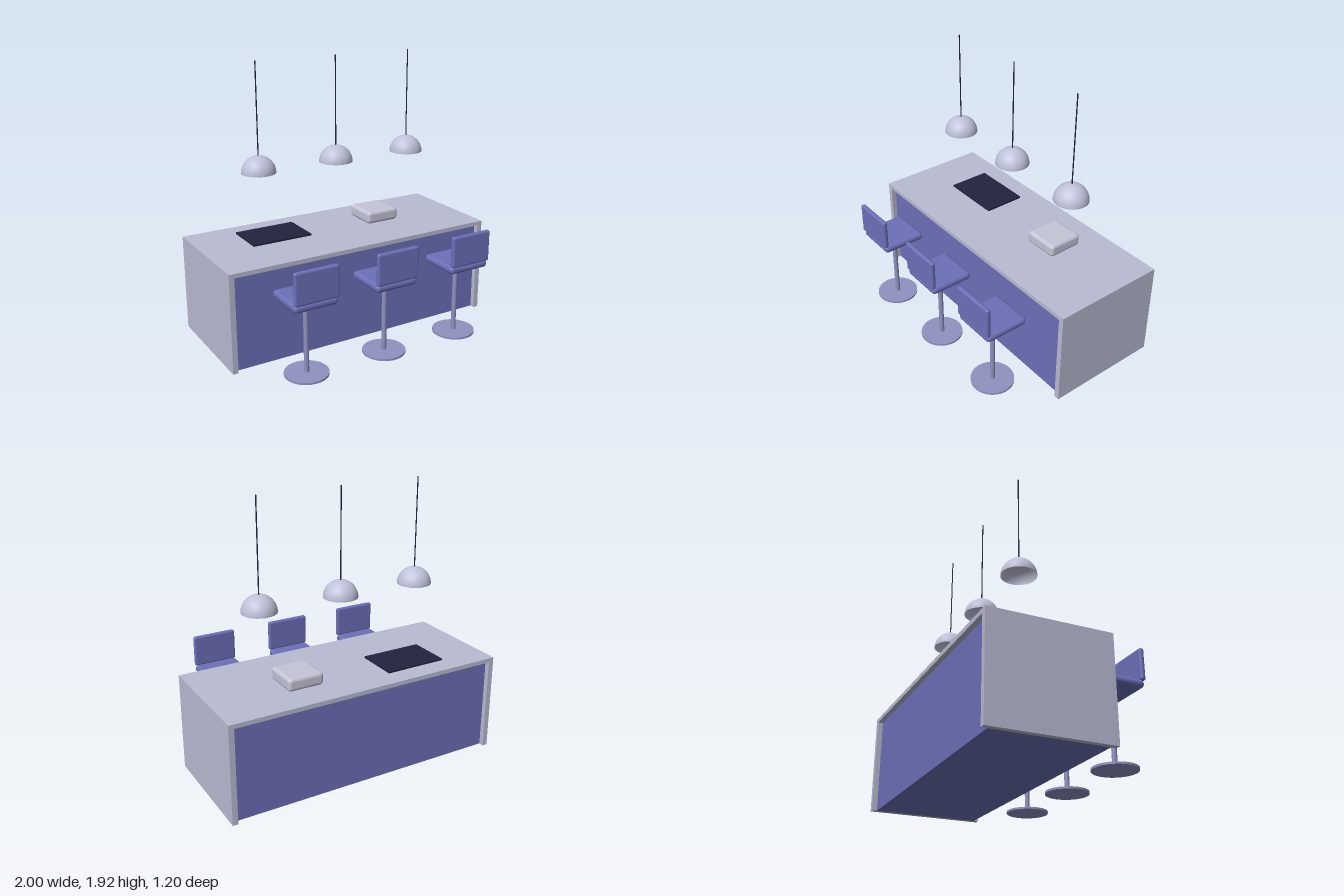
import * as THREE from 'three';
import { RoundedBoxGeometry } from 'three/addons/geometries/RoundedBoxGeometry.js';

const mat = (name, color, side = THREE.FrontSide) => {
  const m = new THREE.MeshStandardMaterial({ color, side });
  m.name = name;
  return m;
};

export function createModel() {
  const stone = mat('pale stone', 0xb9bbd2);
  const blue = mat('blue', 0x6c70b8);
  const metal = mat('stool metal', 0x8e92c0);
  const dark = mat('dark glass', 0x22223f);
  const shadeMat = mat('lamp shade', 0xc0c2da, THREE.DoubleSide);
  const light = mat('light enamel', 0xc4c5d6);

  const root = new THREE.Group();
  root.name = 'kitchenIsland';

  const add = (parent, name, geometry, material, x, y, z) => {
    const mesh = new THREE.Mesh(geometry, material);
    mesh.name = name;
    mesh.position.set(x, y, z);
    parent.add(mesh);
    return mesh;
  };
  const group = (name, x, z) => {
    const g = new THREE.Group();
    g.name = name;
    g.position.set(x, 0, z);
    root.add(g);
    return g;
  };

  // Island: worktop with waterfall ends around a recessed cabinet
  const island = group('island', 0, -0.195);
  add(island, 'worktop', new THREE.BoxGeometry(2, 0.03, 0.81), stone, 0, 0.67, 0);
  for (const s of [-1, 1]) {
    add(island, 'endPanel', new THREE.BoxGeometry(0.037, 0.655, 0.81), stone, s * 0.9815, 0.3275, 0);
  }
  add(island, 'cabinet', new THREE.BoxGeometry(1.926, 0.655, 0.74), blue, 0, 0.3275, 0);

  // Worktop appliances
  add(root, 'cooktop', new THREE.BoxGeometry(0.44, 0.012, 0.3), dark, -0.44, 0.691, -0.31);
  add(root, 'counterBox', new RoundedBoxGeometry(0.255, 0.09, 0.255, 4, 0.025), light, 0.367, 0.73, -0.27);

  for (const x of [-0.59, 0, 0.59]) {
    // Bar stool, with its backrest on the side away from the island
    const stool = group('stool', x, 0.435);
    add(stool, 'stoolBase', new THREE.CylinderGeometry(0.147, 0.147, 0.014, 40), metal, 0, 0.007, 0);
    add(stool, 'stoolPole', new THREE.CylinderGeometry(0.017, 0.017, 0.5, 20), metal, 0, 0.262, 0);
    add(stool, 'seat', new RoundedBoxGeometry(0.31, 0.055, 0.31, 4, 0.025), blue, 0, 0.533, 0);
    add(stool, 'backrest', new RoundedBoxGeometry(0.31, 0.22, 0.034, 4, 0.014), blue, 0, 0.666, 0.148);

    // Pendant lamp: open dome on a thin cord
    const lamp = group('pendantLamp', x, -0.195);
    add(lamp, 'lampShade',
      new THREE.SphereGeometry(0.117, 40, 16, 0, Math.PI * 2, 0, Math.PI / 2), shadeMat, 0, 1.183, 0);
    add(lamp, 'lampCord', new THREE.CylinderGeometry(0.004, 0.004, 0.625, 10), dark, 0, 1.6075, 0);
  }

  return root;
}
